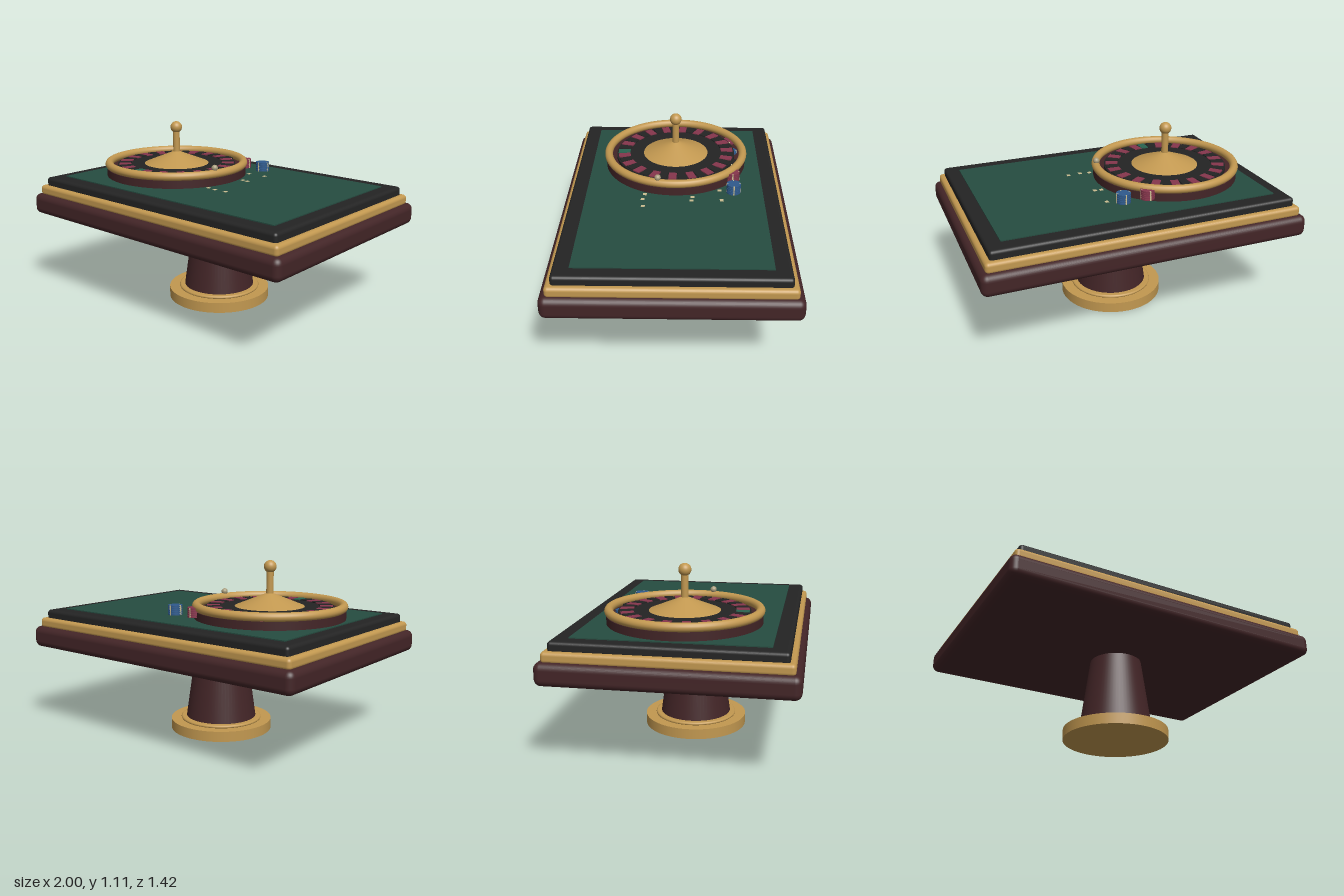
import * as THREE from 'three';
import { RoundedBoxGeometry } from 'three/addons/geometries/RoundedBoxGeometry.js';

const mat = (name, color) => {
  const m = new THREE.MeshStandardMaterial({ color });
  m.name = name;
  return m;
};

export function createModel() {
  const wood = mat('dark wood', 0x432527);
  const gold = mat('brass', 0xc29850);
  const black = mat('black leather', 0x242424);
  const felt = mat('green felt', 0x264d41);
  const red = mat('red', 0x86364c);
  const blue = mat('blue', 0x2f5a8c);
  const cream = mat('cream', 0xcabd90);
  const ivory = mat('ivory ball', 0xa89c7c);
  const green = mat('green pocket', 0x2a6350);

  const model = new THREE.Group();
  model.name = 'rouletteTable';

  const add = (parent, name, geo, material, x = 0, y = 0, z = 0) => {
    const mesh = new THREE.Mesh(geo, material);
    mesh.name = name;
    mesh.position.set(x, y, z);
    parent.add(mesh);
    return mesh;
  };
  // Cylinder given by its bottom and top heights
  const cyl = (parent, name, material, rTop, rBottom, y0, y1, seg = 64) =>
    add(parent, name, new THREE.CylinderGeometry(rTop, rBottom, y1 - y0, seg), material, 0, (y0 + y1) / 2, 0);
  // Rounded slab given by its half extents
  const slab = (name, material, hx, hz, y0, y1, r) =>
    add(model, name, new RoundedBoxGeometry(hx * 2, y1 - y0, hz * 2, 4, r), material, 0, (y0 + y1) / 2, 0);

  // Pedestal
  cyl(model, 'pedestalBase', gold, 0.325, 0.325, 0, 0.065);
  const collar = [[0, 0.06], [0.25, 0.06], [0.258, 0.066], [0.26, 0.072], [0.257, 0.078], [0.25, 0.082], [0, 0.082]]
    .map(([r, y]) => new THREE.Vector2(r, y));
  add(model, 'pedestalCollar', new THREE.LatheGeometry(collar, 64), gold);
  cyl(model, 'pedestalColumn', wood, 0.16, 0.225, 0.08, 0.54);

  // Table top
  slab('tableBody', wood, 1, 0.712, 0.523, 0.656, 0.04);
  slab('brassTrim', gold, 0.966, 0.677, 0.645, 0.711, 0.022);
  slab('paddedRail', black, 0.935, 0.646, 0.695, 0.762, 0.02);
  add(model, 'feltSurface', new THREE.BoxGeometry(1.7, 0.02, 1.1), felt, 0, 0.758, 0);

  // Wheel
  const wheel = new THREE.Group();
  wheel.name = 'wheel';
  wheel.position.x = -0.375;
  model.add(wheel);
  cyl(wheel, 'wheelBowl', wood, 0.46, 0.46, 0.765, 0.817, 96);
  cyl(wheel, 'wheelDisc', black, 0.39, 0.39, 0.8, 0.836, 96);
  const rim = add(wheel, 'wheelRim', new THREE.TorusGeometry(0.444, 0.026, 16, 96), gold, 0, 0.841, 0);
  rim.rotation.x = Math.PI / 2;

  // Numbered pockets: one green, the rest alternating
  const pocketGeo = new THREE.BoxGeometry(0.05, 0.012, 0.078);
  const count = 37;
  for (let i = 0; i < count; i++) {
    const a = (i / count) * Math.PI * 2;
    const m = i === 0 ? green : i % 2 ? red : black;
    const p = add(wheel, 'pocket', pocketGeo, m, Math.sin(a) * 0.341, 0.836, Math.cos(a) * 0.341);
    p.rotation.y = a;
  }

  // Central cone, spindle and knob
  cyl(wheel, 'wheelCone', gold, 0, 0.212, 0.836, 0.922);
  cyl(wheel, 'spindle', gold, 0.022, 0.022, 0.89, 1.06, 32);
  add(wheel, 'spindleKnob', new THREE.SphereGeometry(0.038, 32, 20), gold, 0, 1.074, 0);

  add(model, 'rouletteBall', new THREE.SphereGeometry(0.02, 24, 16), ivory, 0.055, 0.877, 0.105);

  // Chip stacks along the back of the wheel
  const chipGeo = new THREE.CylinderGeometry(0.044, 0.044, 0.01, 32);
  const markGeo = new THREE.BoxGeometry(0.008, 0.0104, 0.012);
  [[0.065, blue, 5], [-0.09, red, 5], [-0.25, black, 4], [-0.41, blue, 4], [-0.57, red, 4]].forEach(([x, m, n]) => {
    const stack = new THREE.Group();
    stack.name = 'chipStack';
    stack.position.set(x, 0.79, -0.365);
    model.add(stack);
    for (let i = 0; i < n; i++) {
      add(stack, 'chip', chipGeo, m, 0, i * 0.0122, 0);
      for (let k = 0; k < 4; k++) {
        const a = (k * Math.PI) / 2;
        const mark = add(stack, 'chipMark', markGeo, cream, Math.sin(a) * 0.039, i * 0.0122, Math.cos(a) * 0.039);
        mark.rotation.y = a;
      }
    }
  });

  // Small betting marks on the felt
  [[0.02, -0.28], [0.14, -0.29], [0.105, -0.11], [0.145, -0.105],
    [0.075, 0.185], [0.135, 0.195], [0.215, 0.19]].forEach(([x, z]) =>
    add(model, 'bettingMark', new THREE.BoxGeometry(0.022, 0.003, 0.024), cream, x, 0.7685, z));

  return model;
}
